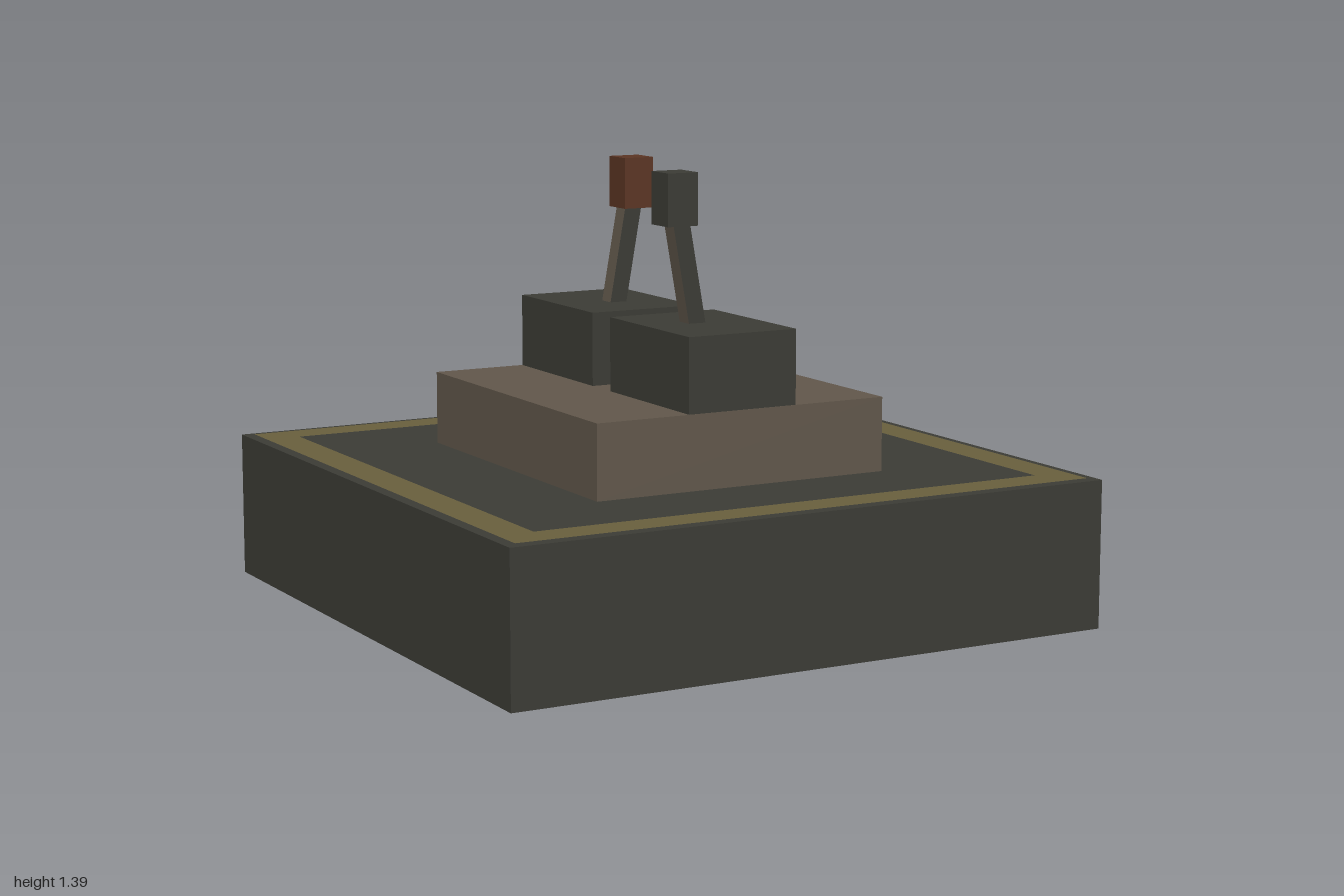
import * as THREE from 'three';

export function createModel() {
  const model = new THREE.Group();
  model.name = 'leverControlPanel';

  const paint = (name, color) => {
    const m = new THREE.MeshStandardMaterial({ color });
    m.name = name;
    return m;
  };
  const dark = paint('darkMetal', 0x3b3b35);
  const shell = paint('darkShell', 0x3b3b35);
  shell.side = THREE.DoubleSide;
  const brown = paint('brownMetal', 0x60564a);
  const yellow = paint('mustardPaint', 0x685e3c);
  const red = paint('rustRed', 0x5a3423);

  const add = (name, geometry, material, x, y, z, parent = model) => {
    const mesh = new THREE.Mesh(geometry, material);
    mesh.name = name;
    mesh.position.set(x, y, z);
    parent.add(mesh);
    return mesh;
  };

  // Box without its bottom face, standing on its origin
  const openBox = (w, h, d) => {
    const g = new THREE.BoxGeometry(w, h, d).translate(0, h / 2, 0);
    const index = Array.from(g.index.array);
    index.splice(18, 6);
    g.setIndex(index);
    g.clearGroups();
    return g;
  };

  // Hollow base and the console stacked on it
  const baseTop = 0.463, consoleTop = 0.695, housingTop = 0.927;
  add('base', openBox(2, baseTop, 2), shell, 0, 0, 0);
  add('console', openBox(0.99, consoleTop - baseTop, 1.11), brown, -0.003, baseTop, 0.002);

  // Painted border on the base
  const square = (Type, r) => new Type([
    new THREE.Vector2(-r, -r), new THREE.Vector2(r, -r),
    new THREE.Vector2(r, r), new THREE.Vector2(-r, r),
  ]);
  const ring = square(THREE.Shape, 0.968);
  ring.holes.push(square(THREE.Path, 0.855));
  const border = new THREE.ShapeGeometry(ring).rotateX(-Math.PI / 2);
  add('borderStripe', border, yellow, 0, baseTop + 0.003, 0);

  // One housing, lever, knob and side label for each control
  const controls = [
    { name: 'front', side: 1, knob: dark, label: yellow },
    { name: 'rear', side: -1, knob: red, label: red },
  ];
  for (const { name, side, knob, label } of controls) {
    const group = new THREE.Group();
    group.name = `${name}Control`;
    model.add(group);

    add(`${name}Housing`, openBox(0.37, housingTop - consoleTop, 0.495), dark,
      -0.004, consoleTop, side * 0.306 + 0.002, group);

    // Lever leans sideways; its broad sides are brown, the rest dark
    const z = side * 0.277 + 0.002;
    const lever = add(`${name}Lever`, new THREE.BoxGeometry(0.057, 0.4, 0.057),
      [brown, brown, dark, dark, dark, dark], -0.0075 - side * 0.04, 1.08, z, group);
    lever.rotation.z = side * 0.177;

    add(`${name}Knob`, new THREE.BoxGeometry(0.103, 0.162, 0.103), knob,
      -0.0075 - side * 0.0755, 1.309, z, group);

    add(`${name}Label`, new THREE.BoxGeometry(0.006, 0.144, 0.236), label,
      0.492, 0.58, side * 0.279 + 0.003, group);
  }

  return model;
}
